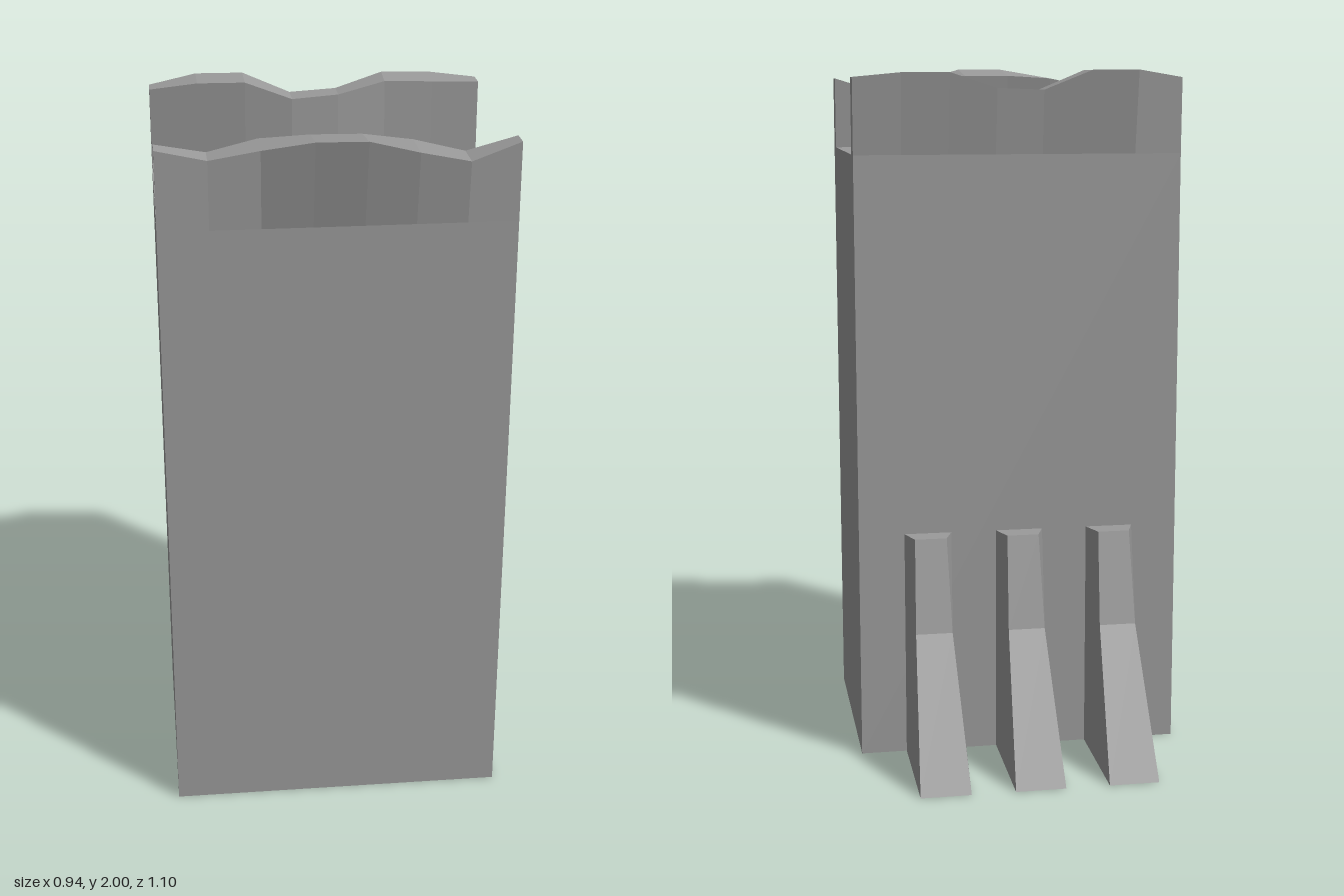
import * as THREE from 'three';

const material = new THREE.MeshStandardMaterial({ color: 0x9b9b9b });

// Capped loft through four-cornered rings, each counter-clockwise seen from the end of the loft.
// Every quad carries one normal, so slightly twisted faces still read as single facets.
function loft(name, rings) {
  const pos = [], norm = [];
  const quad = (...corners) => {
    const [a, b, c, d] = corners.map((p) => new THREE.Vector3(...p));
    const n = c.clone().sub(a).cross(d.clone().sub(b)).normalize();
    for (const v of [a, b, c, a, c, d]) {
      pos.push(v.x, v.y, v.z);
      norm.push(n.x, n.y, n.z);
    }
  };
  for (let i = 0; i < rings.length - 1; i++) {
    const r = rings[i], s = rings[i + 1];
    for (let j = 0; j < 4; j++) {
      const k = (j + 1) % 4;
      quad(r[j], r[k], s[k], s[j]);
    }
  }
  quad(...[...rings[0]].reverse());
  quad(...rings[rings.length - 1]);
  const geometry = new THREE.BufferGeometry();
  geometry.setAttribute('position', new THREE.Float32BufferAttribute(pos, 3));
  geometry.setAttribute('normal', new THREE.Float32BufferAttribute(norm, 3));
  const mesh = new THREE.Mesh(geometry, material);
  mesh.name = name;
  return mesh;
}

const HALF_WIDTH = 0.472, TOP = 1.76, BACK = -0.19, FRONT = 0.49;

// Uneven parapet: straight foot, wavy top; rows are [z min, z max, height at z min, height at z max]
function parapet(name, footMin, footMax, rows) {
  return loft(name, rows.map(([zMin, zMax, yMin, yMax], i) => {
    const x = -HALF_WIDTH + (2 * HALF_WIDTH * i) / (rows.length - 1);
    return [[x, TOP, footMin], [x, yMin, zMin], [x, yMax, zMax], [x, TOP, footMax]];
  }));
}

// Buttress whose outer edge narrows as it rises; rows are [y, outer z, outer half width]
function buttress(x) {
  const rows = [[0, -0.552, 0.072], [0.4, -0.32, 0.053], [0.665, -0.257, 0.046]];
  return loft('buttress', rows.map(([y, z, w]) =>
    [[x - w, y, z], [x - 0.069, y, BACK], [x + 0.069, y, BACK], [x + w, y, z]]));
}

export function createModel() {
  const group = new THREE.Group();
  group.name = 'wallSegment';

  // Main block
  const block = new THREE.Mesh(
    new THREE.BoxGeometry(2 * HALF_WIDTH, TOP, FRONT - BACK), material);
  block.name = 'block';
  block.position.set(0, TOP / 2, (FRONT + BACK) / 2);
  group.add(block);

  // Parapets along the front and back edges
  group.add(parapet('frontParapet', 0.43, FRONT, [
    [0.43, 0.49, 1.975, 1.975], [0.41, 0.49, 1.945, 1.945],
    [0.39, 0.5, 1.972, 1.97], [0.395, 0.544, 1.98, 2],
    [0.402, 0.55, 1.98, 2], [0.397, 0.53, 1.96, 1.962],
    [0.413, 0.512, 1.93, 1.93], [0.43, 0.49, 1.972, 1.972],
  ]));
  group.add(parapet('backParapet', BACK, -0.137, [
    [-0.195, -0.137, 1.975, 1.975], [-0.23, -0.11, 1.996, 1.996],
    [-0.23, -0.11, 1.995, 1.995], [-0.21, -0.126, 1.94, 1.94],
    [-0.222, -0.145, 1.945, 1.945], [-0.228, -0.155, 1.988, 1.978],
    [-0.217, -0.139, 1.988, 1.978], [-0.195, -0.137, 1.975, 1.975],
  ]));

  // Three buttresses at the foot of the back
  for (const x of [-0.27, 0, 0.27]) group.add(buttress(x));
  return group;
}
